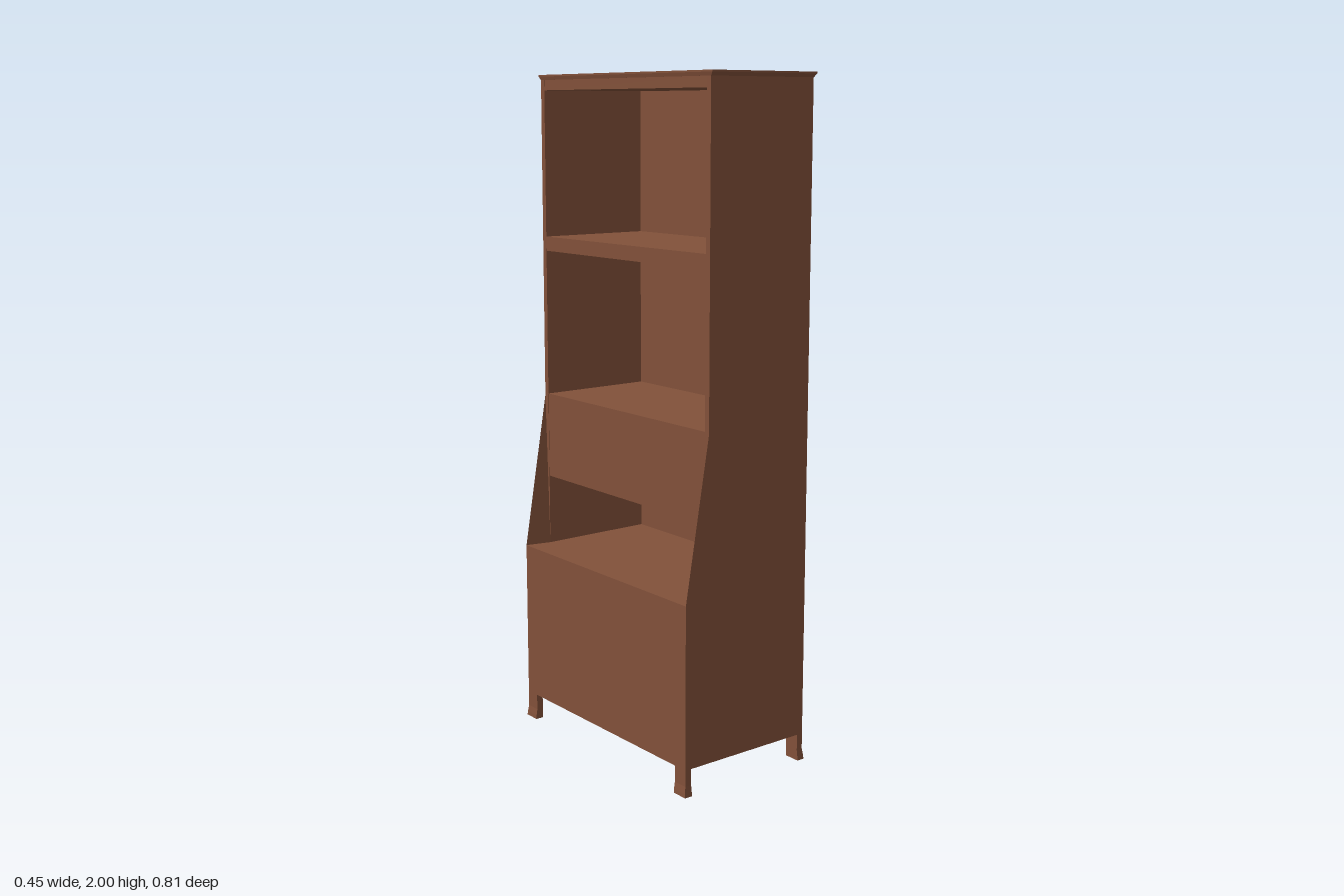
import * as THREE from 'three';

const wood = new THREE.MeshStandardMaterial({ color: 0x82513a });
wood.name = 'brown wood';

// Main dimensions
const HALF = 0.397, INNER = 0.38;            // outer and inner half width
const BACK = 0.22, FRONT = -0.146, BASE_FRONT = -0.225;
const LEG_H = 0.08, DESK = 0.56, SLOPE_TOP = 1.03, TOP = 1.985;

function add(group, name, geometry) {
  const mesh = new THREE.Mesh(geometry, wood);
  mesh.name = name;
  group.add(mesh);
  return mesh;
}

// Box given by its limits
function slab(x0, x1, y0, y1, z0, z1) {
  return new THREE.BoxGeometry(x1 - x0, y1 - y0, z1 - z0)
    .translate((x0 + x1) / 2, (y0 + y1) / 2, (z0 + z1) / 2);
}

// Block between two rectangles [x0, x1, z0, z1], one below the other
function taper(y0, low, y1, high) {
  const g = new THREE.BoxGeometry(1, 1, 1).toNonIndexed();
  const p = g.attributes.position;
  for (let i = 0; i < p.count; i++) {
    const up = p.getY(i) > 0, r = up ? high : low;
    p.setXYZ(i, p.getX(i) < 0 ? r[0] : r[1], up ? y1 : y0, p.getZ(i) < 0 ? r[2] : r[3]);
  }
  g.computeVertexNormals();
  return g;
}

// Sloping side wing that thins to a knife edge
function wing(s) {
  const a = [BASE_FRONT, DESK, s * HALF], b = [FRONT, DESK, s * HALF];
  const c = [FRONT, SLOPE_TOP, s * HALF], d = [FRONT, DESK, s * INNER];
  const faces = [[a, b, c], [a, c, d], [a, d, b], [b, d, c]];
  const pts = faces.flatMap(f => (s > 0 ? f : [f[0], f[2], f[1]])).flat();
  const g = new THREE.BufferGeometry();
  g.setAttribute('position', new THREE.Float32BufferAttribute(pts, 3));
  g.computeVertexNormals();
  return g;
}

export function createModel() {
  const model = new THREE.Group();
  model.name = 'bookcase';

  // Closed lower cabinet and back
  add(model, 'lowerCabinet', slab(BASE_FRONT, BACK, LEG_H, DESK, -HALF, HALF));
  add(model, 'backPanel', slab(BACK - 0.006, BACK, DESK, TOP, -HALF, HALF));

  // Side panels with sloping wings
  for (const s of [1, -1]) {
    const side = s > 0 ? 'left' : 'right';
    const z = [s * INNER, s * HALF].sort((m, n) => m - n);
    add(model, side + 'SidePanel', slab(FRONT, BACK - 0.006, DESK, TOP, z[0], z[1]));
    add(model, side + 'SideWing', wing(s));
  }

  // Shelf, drawer block and head rail between the sides
  const spans = { upperShelf: [1.477, 1.52], drawerBlock: [0.775, 1.036], headRail: [1.955, TOP] };
  for (const [name, [y0, y1]] of Object.entries(spans)) {
    add(model, name, slab(FRONT + 0.001, BACK - 0.006, y0, y1, -INNER, INNER));
  }

  // Top board, flared below its edge
  const rim = [FRONT - 0.003, BACK + 0.006, -0.405, 0.405];
  add(model, 'topMoulding', taper(TOP, [FRONT, BACK, -HALF, HALF], 1.995, rim));
  add(model, 'topBoard', slab(rim[0], rim[1], 1.995, 2, rim[2], rim[3]));

  // Four legs with feet that flare outward
  for (const sx of [1, -1]) for (const sz of [1, -1]) {
    const leg = new THREE.Group();
    leg.name = (sx > 0 ? 'back' : 'front') + (sz > 0 ? 'Left' : 'Right') + 'Leg';
    const rect = flare => {
      const x = sx > 0 ? [0.2, BACK + flare] : [BASE_FRONT - flare, -0.204];
      const z = sz > 0 ? [0.35, HALF + flare] : [-HALF - flare, -0.35];
      return [...x, ...z];
    };
    add(leg, 'legPost', taper(0.032, rect(0), LEG_H, rect(0)));
    add(leg, 'foot', taper(0.012, rect(0.003), 0.032, rect(0)));
    add(leg, 'footPad', taper(0, rect(0.004), 0.012, rect(0.003)));
    model.add(leg);
  }
  return model;
}
